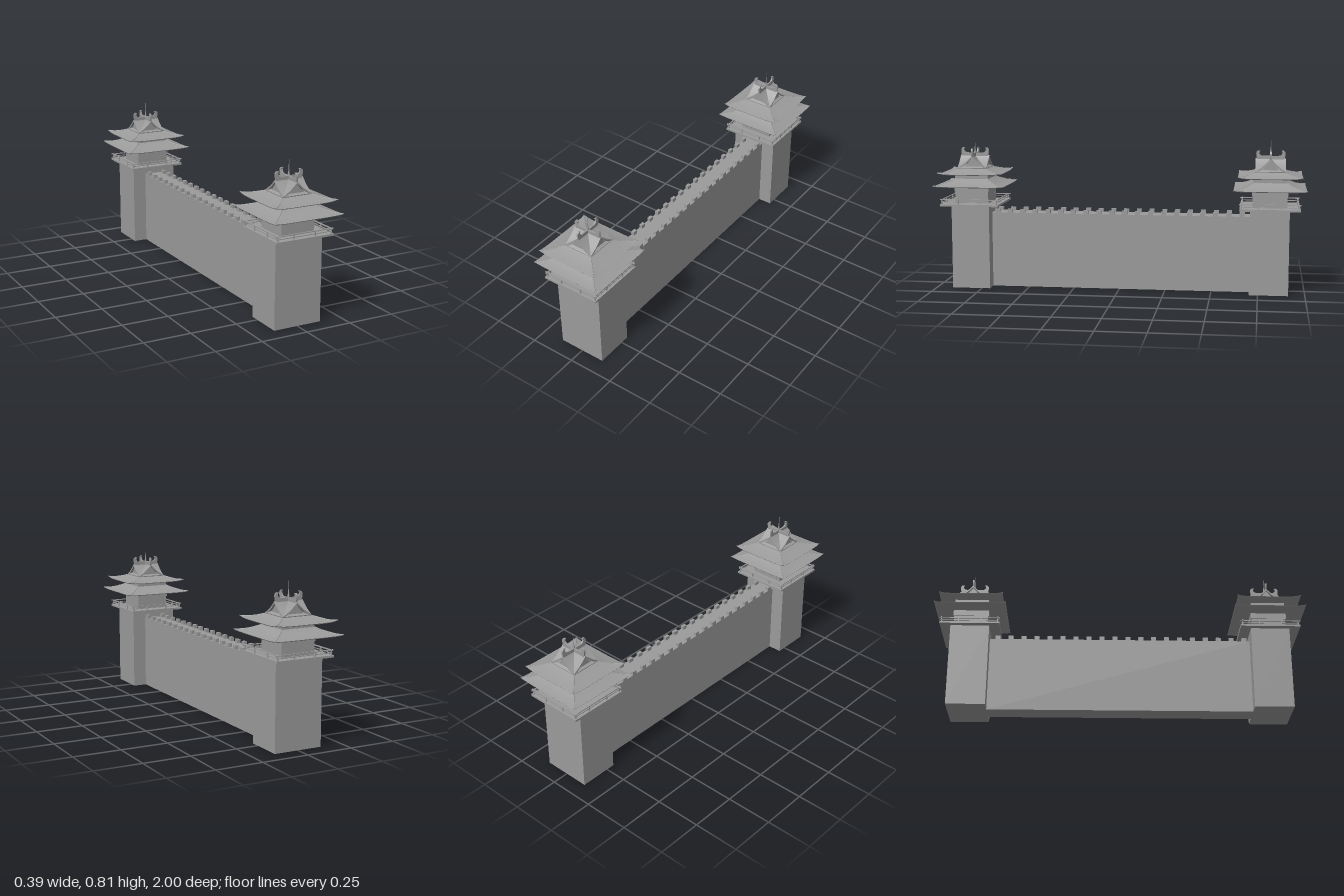
import * as THREE from 'three';
import { toCreasedNormals } from 'three/addons/utils/BufferGeometryUtils.js';

const mat = new THREE.MeshStandardMaterial({ color: 0x9b9b9b, side: THREE.DoubleSide });

function add(parent, name, geometry, x = 0, y = 0, z = 0) {
  const m = new THREE.Mesh(geometry, mat);
  m.name = name;
  m.position.set(x, y, z);
  parent.add(m);
  return m;
}

// box given by its bottom and top heights
function block(parent, name, w, y0, y1, d, x = 0, z = 0) {
  return add(parent, name, new THREE.BoxGeometry(w, y1 - y0, d), x, (y0 + y1) / 2, z);
}

// four-sided swept roof; rows are [half width, height, corner lift], from soffit to top
function makeRoof(name, rows, firstTop) {
  const g = new THREE.Group();
  g.name = name;
  const side = new THREE.PlaneGeometry(1, 1, 16, rows.length - 1);
  const p = side.attributes.position;
  for (let i = 0; i < p.count; i++) {
    const [h, y, lift] = rows[Math.round((p.getY(i) + 0.5) * (rows.length - 1))];
    const s = p.getX(i) * 2;
    p.setXYZ(i, s * h, y + lift * Math.pow(Math.abs(s), 6), h);
  }
  const sideGeo = toCreasedNormals(side, 0.6);
  const hip = new THREE.CatmullRomCurve3(
    rows.slice(firstTop).map(([h, y, lift]) => new THREE.Vector3(h, y + lift, h)));
  const hipGeo = new THREE.TubeGeometry(hip, 12, 0.0022, 6);
  for (let k = 0; k < 4; k++) {
    add(g, 'roofSide', sideGeo).rotation.y = k * Math.PI / 2;
    add(g, 'hipRidge', hipGeo).rotation.y = k * Math.PI / 2;
  }
  return g;
}

function extrude(shape, depth) {
  const g = new THREE.ExtrudeGeometry(shape, { depth, bevelEnabled: false, curveSegments: 8 });
  return g.translate(0, 0, -depth / 2);
}

// gable roof running along z, with overhanging sheet and bargeboards
function makeGable() {
  const g = new THREE.Group();
  g.name = 'gableRoof';
  const core = new THREE.Shape();
  core.moveTo(-0.07, 0.645);
  core.lineTo(0.07, 0.645);
  core.quadraticCurveTo(0.03, 0.67, 0, 0.714);
  core.quadraticCurveTo(-0.03, 0.67, -0.07, 0.645);
  add(g, 'gableWall', extrude(core, 0.136));
  const sheet = new THREE.Shape();
  sheet.moveTo(0.082, 0.656);
  sheet.quadraticCurveTo(0.035, 0.68, 0, 0.721);
  sheet.quadraticCurveTo(-0.035, 0.68, -0.082, 0.656);
  sheet.lineTo(-0.08, 0.648);
  sheet.quadraticCurveTo(-0.035, 0.67, 0, 0.711);
  sheet.quadraticCurveTo(0.035, 0.67, 0.08, 0.648);
  add(g, 'gableSheet', extrude(sheet, 0.16));
  return g;
}

// ridge beam along x with a curled horn at each end
function ridgeShape() {
  const s = new THREE.Shape();
  s.moveTo(-0.072, 0.715);
  s.lineTo(0.072, 0.715);
  s.quadraticCurveTo(0.079, 0.74, 0.077, 0.752);
  s.quadraticCurveTo(0.071, 0.766, 0.056, 0.761);
  s.quadraticCurveTo(0.064, 0.754, 0.06, 0.745);
  s.quadraticCurveTo(0.056, 0.735, 0.04, 0.734);
  s.lineTo(-0.04, 0.734);
  s.quadraticCurveTo(-0.056, 0.735, -0.06, 0.745);
  s.quadraticCurveTo(-0.064, 0.754, -0.056, 0.761);
  s.quadraticCurveTo(-0.071, 0.766, -0.077, 0.752);
  s.quadraticCurveTo(-0.079, 0.74, -0.072, 0.715);
  return s;
}

function makeTower() {
  const t = new THREE.Group();
  t.name = 'tower';
  block(t, 'towerBase', 0.262, 0, 0.455, 0.208);

  // balcony and its railing
  block(t, 'balconyFloor', 0.32, 0.453, 0.464, 0.32);
  for (let k = 0; k < 4; k++) {
    const rail = new THREE.Group();
    rail.name = 'railing';
    rail.rotation.y = k * Math.PI / 2;
    for (const x of [-0.15, -0.06, 0.06, 0.15]) block(rail, 'railPost', 0.006, 0.46, 0.488, 0.006, x, 0.15);
    block(rail, 'handRail', 0.324, 0.486, 0.491, 0.007, 0, 0.15);
    block(rail, 'midRail', 0.31, 0.473, 0.477, 0.004, 0, 0.15);
    block(rail, 'wallPanel', 0.146, 0.462, 0.508, 0.004, 0, 0.0905);
    t.add(rail);
  }

  // storeys and roofs
  block(t, 'lowerStorey', 0.184, 0.46, 0.53, 0.184);
  block(t, 'middleStorey', 0.192, 0.528, 0.595, 0.192);
  block(t, 'upperStorey', 0.182, 0.59, 0.64, 0.182);
  t.add(makeRoof('lowerRoof', [[0.09, 0.561, 0], [0.189, 0.558, 0.004], [0.192, 0.562, 0.004],
    [0.165, 0.567, 0.002], [0.14, 0.575, 0], [0.115, 0.585, 0], [0.09, 0.598, 0]], 2));
  t.add(makeRoof('upperRoof', [[0.085, 0.627, 0], [0.168, 0.623, 0.008], [0.171, 0.627, 0.008],
    [0.145, 0.632, 0.003], [0.12, 0.639, 0], [0.085, 0.65, 0], [0.05, 0.666, 0]], 2));

  // crossing gables, horned ridges and spire
  const ridgeGeo = extrude(ridgeShape(), 0.009);
  for (const angle of [0, Math.PI / 2]) {
    const gable = makeGable();
    gable.rotation.y = angle;
    t.add(gable);
    add(t, 'hornedRidge', ridgeGeo).rotation.y = angle;
  }
  const spire = [[0.007, 0.72], [0.006, 0.738], [0.003, 0.755], [0.0015, 0.775], [0.0008, 0.815], [0, 0.815]];
  add(t, 'spire', new THREE.LatheGeometry(spire.map(([x, y]) => new THREE.Vector2(x, y)), 8));
  return t;
}

export function createModel() {
  const model = new THREE.Group();
  model.name = 'fortifiedWall';

  // wall with two rows of merlons
  block(model, 'wall', 0.11, 0, 0.41, 1.41);
  for (let i = 0; i < 20; i++) {
    for (const x of [-0.046, 0.046]) block(model, 'merlon', 0.018, 0.405, 0.43, 0.027, x, 0.675 - i * 0.0703);
  }

  // a tower at each end
  for (const s of [1, -1]) {
    const tower = makeTower();
    tower.position.z = s * 0.808;
    tower.rotation.y = s > 0 ? 0 : Math.PI;
    model.add(tower);
  }
  return model;
}
